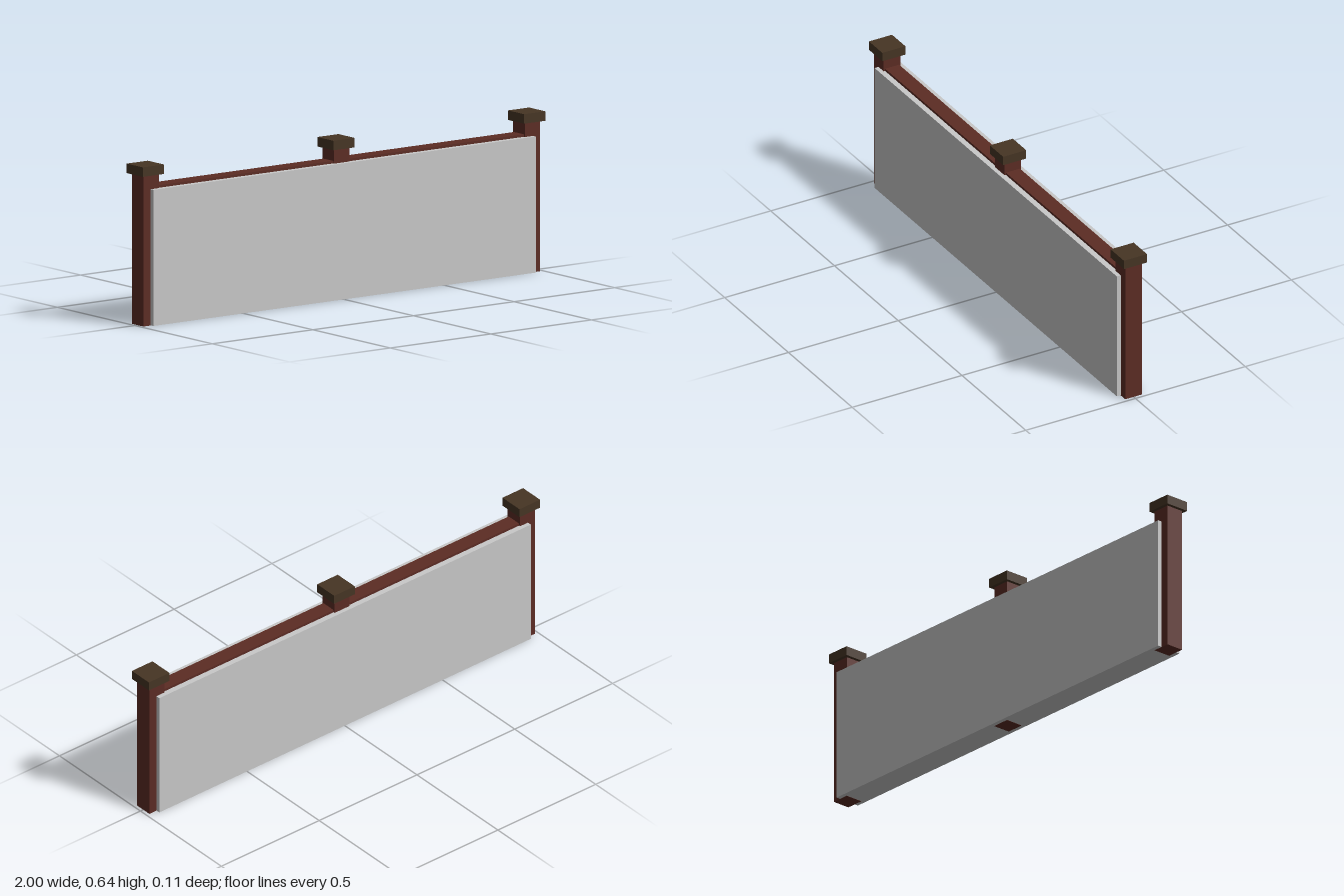
import * as THREE from 'three';

export function createModel() {
  const model = new THREE.Group();
  model.name = 'wallSection';

  const mat = (name, color) => {
    const m = new THREE.MeshStandardMaterial({ color });
    m.name = name;
    return m;
  };
  const panelGrey = mat('panelGrey', 0xc8c8c8);
  const woodRed = mat('redBrownWood', 0x5c2c24);
  const capBrown = mat('darkBrownCap', 0x463524);

  // Box given by its width, depth, and bottom and top heights
  const box = (name, material, w, d, y0, y1, parent) => {
    const mesh = new THREE.Mesh(new THREE.BoxGeometry(w, y1 - y0, d), material);
    mesh.position.y = (y0 + y1) / 2;
    mesh.name = name;
    parent.add(mesh);
    return mesh;
  };

  // Main wall panel, lifted a hair so the post feet show cleanly below
  box('wallPanel', panelGrey, 1.9, 0.112, 0.001, 0.546, model);

  // Rail running along the inside, standing just above the panel
  box('topRail', woodRed, 1.88, 0.064, 0.02, 0.556, model);

  // Three posts with square caps
  [['right', -0.9475], ['middle', 0], ['left', 0.9475]].forEach(([side, x]) => {
    const post = new THREE.Group();
    post.name = side + 'Post';
    post.position.x = x;
    box('postShaft', woodRed, 0.076, 0.076, 0, 0.603, post);
    box('postCap', capBrown, 0.105, 0.105, 0.603, 0.641, post);
    model.add(post);
  });

  return model;
}
